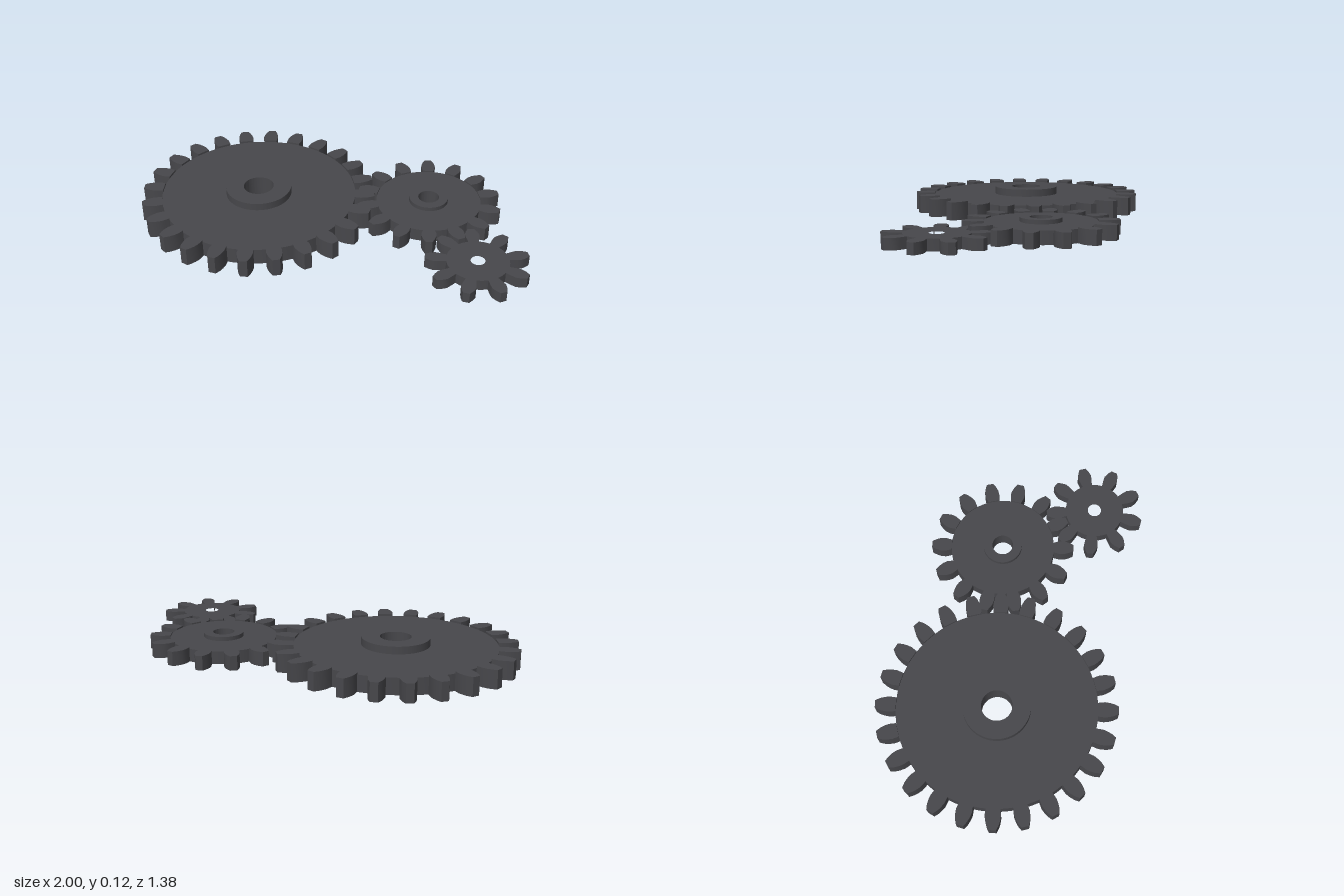
import * as THREE from 'three';
import { toCreasedNormals } from 'three/addons/utils/BufferGeometryUtils.js';

const MODULE = 0.045; // tooth size shared by all three gears, so they mesh

const steel = new THREE.MeshStandardMaterial({ color: 0x47474b });
steel.name = 'darkSteel';

// x, z: centre; phase: clockwise turn of the first tooth from the back, in degrees
// flank: half widths of a tooth from root to tip
const GEARS = [
  { name: 'largeGear', teeth: 24, x: -0.417, z: 0.1, phase: 0, height: 0.09, recess: 0.01,
    bore: 0.075, hub: 0.164, hubTop: 0.117, flank: [0.034, 0.038, 0.035, 0.029, 0.018] },
  { name: 'mediumGear', teeth: 14, x: 0.323, z: -0.33, phase: -4, height: 0.07, recess: 0.007,
    bore: 0.052, hub: 0.097, hubTop: 0.083, flank: [0.027, 0.036, 0.035, 0.028, 0.017] },
  { name: 'smallGear', teeth: 9, x: 0.751, z: -0.037, phase: 5, height: 0.053, recess: 0,
    bore: 0.034, hub: 0, hubTop: 0, flank: [0.025, 0.032, 0.035, 0.028, 0.016] },
];
const RADIAL = [-1.2, -0.5, 0, 0.5, 1]; // flank stations, in modules from the pitch circle

// Raise flat shapes from y = base to y = top
function slab(name, shapes, base, top) {
  const flat = new THREE.ExtrudeGeometry(shapes, { depth: top - base, bevelEnabled: false, curveSegments: 48 });
  flat.rotateX(-Math.PI / 2).translate(0, base, 0);
  const mesh = new THREE.Mesh(toCreasedNormals(flat, 0.45), steel);
  mesh.name = name;
  return mesh;
}

function addBore(shape, radius) {
  shape.holes.push(new THREE.Path().absarc(0, 0, radius, 0, Math.PI * 2, true));
  return shape;
}

function ring(outer, inner) {
  return addBore(new THREE.Shape().absarc(0, 0, outer, 0, Math.PI * 2, false), inner);
}

// Outline of one tooth: up one flank, down the other
function toothPoints(gear, angle) {
  const pitch = gear.teeth * MODULE / 2;
  const dir = new THREE.Vector2(Math.sin(angle), Math.cos(angle));
  const side = new THREE.Vector2(dir.y, -dir.x);
  const flank = (sign) => gear.flank.map((w, i) => {
    const r = Math.sqrt((pitch + RADIAL[i] * MODULE) ** 2 - (i === 0 ? w * w : 0));
    return dir.clone().multiplyScalar(r).addScaledVector(side, sign * w);
  });
  return [...flank(-1), ...flank(1).reverse()];
}

function buildGear(gear) {
  const group = new THREE.Group();
  group.name = gear.name;
  group.position.set(gear.x, 0, gear.z);
  const root = (gear.teeth / 2 - 1.2) * MODULE;
  const step = Math.PI * 2 / gear.teeth;
  const angles = Array.from({ length: gear.teeth }, (_, i) => THREE.MathUtils.degToRad(gear.phase) + i * step);

  if (gear.recess > 0) {
    // Separate teeth standing slightly proud of the web disc
    const teeth = angles.map((a) => new THREE.Shape(toothPoints(gear, a)));
    group.add(slab('teeth', teeth, 0, gear.height));
    group.add(slab('webDisc', ring(root, gear.bore), 0, gear.height - gear.recess));
    group.add(slab('hub', ring(gear.hub, gear.bore), gear.height - gear.recess, gear.hubTop));
  } else {
    // Flat pinion cut from a single outline
    const outline = angles.flatMap((a) => {
      const gap = a + step / 2;
      return [...toothPoints(gear, a), new THREE.Vector2(Math.sin(gap) * root, Math.cos(gap) * root)];
    });
    group.add(slab('pinion', addBore(new THREE.Shape(outline), gear.bore), 0, gear.height));
  }
  return group;
}

export function createModel() {
  const model = new THREE.Group();
  model.name = 'gearTrain';
  for (const gear of GEARS) model.add(buildGear(gear));
  return model;
}
